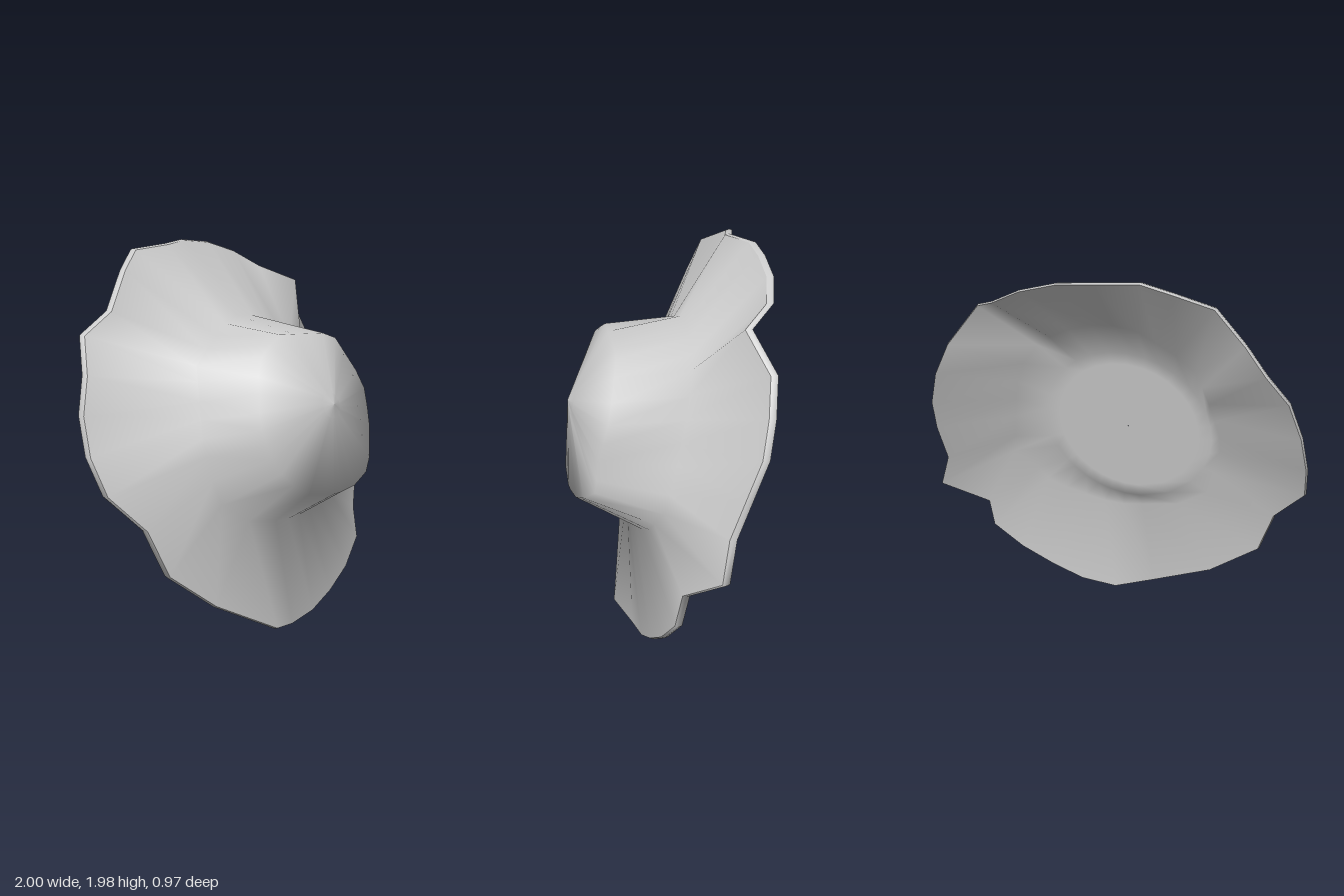
import * as THREE from 'three';

// All outlines are [x, y, z], counter-clockwise seen from the front
// Wavy brim outline
const RIM = [
  [0.95, 1.0, -0.21], [0.93, 1.18, -0.29], [0.88, 1.36, -0.33], [0.79, 1.54, -0.36],
  [0.66, 1.73, -0.27], [0.52, 1.81, -0.41], [0.36, 1.9, -0.455], [0.17, 1.96, -0.465],
  [-0.02, 1.985, -0.47], [-0.22, 1.985, -0.4], [-0.4, 1.97, -0.45], [-0.57, 1.89, -0.36],
  [-0.71, 1.71, -0.32], [-0.83, 1.6, -0.385], [-0.92, 1.43, -0.28], [-0.98, 1.25, -0.25],
  [-1.0, 1.06, -0.19], [-0.98, 0.88, -0.1], [-0.81, 0.69, -0.01], [-0.72, 0.45, 0.05],
  [-0.45, 0.24, 0.11], [-0.1, 0.05, 0.22], [0.1, 0.005, 0.16], [0.29, 0.025, 0.15],
  [0.46, 0.09, 0.14], [0.63, 0.18, 0.12], [0.78, 0.31, 0.085], [0.79, 0.47, 0.05],
  [1.0, 0.61, -0.09], [0.93, 0.8, -0.14],
];
// Where the crown meets the brim, wider at the lower left of the wearer
const BASE = [
  [0.53, 1.08, 0.03], [0.48, 1.32, -0.03], [0.35, 1.5, -0.08], [0.15, 1.61, -0.1],
  [-0.07, 1.63, -0.1], [-0.37, 1.43, -0.06], [-0.45, 1.05, 0.05], [-0.4, 0.76, 0.11],
  [-0.22, 0.63, 0.17], [0.1, 0.59, 0.19], [0.4, 0.65, 0.16], [0.59, 0.82, 0.11],
];
// Shoulder around the front of the crown
const SHOULDER = [
  [0.45, 1.08, 0.4], [0.46, 1.27, 0.35], [0.28, 1.54, 0.28], [-0.13, 1.58, 0.26],
  [-0.32, 1.48, 0.29], [-0.4, 1.2, 0.36], [-0.35, 0.98, 0.42], [-0.2, 0.83, 0.47],
  [0.05, 0.78, 0.49], [0.22, 0.79, 0.48], [0.36, 0.84, 0.46], [0.43, 0.89, 0.42],
];

const TURN = Math.PI * 2;
const CY = 1.1;
const angle = ([x, y]) => (Math.atan2(y - CY, x) + TURN) % TURN;
const mix = (p, q, t) => p.map((v, i) => v + (q[i] - v) * t);
const blend = (a, b, t) => a.map((p, j) => mix(p, b[j], t));
const shift = (points, dz) => points.map(([x, y, z]) => [x, y, z + dz]);

// Sample a coarse outline at the angle of every rim point
function resample(outline) {
  const sorted = [...outline].sort((p, q) => angle(p) - angle(q));
  return RIM.map((r) => {
    const a = angle(r);
    const next = sorted.findIndex((p) => angle(p) > a);
    const q = sorted[next < 0 ? 0 : next];
    const p = sorted[next > 0 ? next - 1 : sorted.length - 1];
    const span = (angle(q) - angle(p) + TURN) % TURN;
    return mix(p, q, ((a - angle(p) + TURN) % TURN) / span);
  });
}

// Tilted elliptical ring for the closed head opening
function opening(scale) {
  return RIM.map((r) => {
    const a = angle(r);
    const dy = 0.42 * scale * Math.sin(a);
    return [-0.03 + 0.44 * scale * Math.cos(a), 1.07 + dy, -0.02 - 0.14 * dy];
  });
}

// Smooth skin through successive rings
function loft(name, rings) {
  const n = RIM.length;
  const index = [];
  for (let i = 0; i < rings.length - 1; i++) {
    for (let j = 0; j < n; j++) {
      const k = (j + 1) % n;
      const a = i * n + j, b = (i + 1) * n + j, c = (i + 1) * n + k, d = i * n + k;
      index.push(a, b, c, a, c, d);
    }
  }
  const geometry = new THREE.BufferGeometry();
  geometry.setAttribute('position', new THREE.Float32BufferAttribute(rings.flat(2), 3));
  geometry.setIndex(index);
  geometry.computeVertexNormals();
  const mesh = new THREE.Mesh(geometry, new THREE.MeshStandardMaterial({ color: 0xcccccc }));
  mesh.name = name;
  return mesh;
}

export function createModel() {
  const hat = new THREE.Group();
  hat.name = 'floppyHat';

  const base = resample(BASE);
  const shoulder = resample(SHOULDER);
  const tip = RIM.map(() => [0.03, 1.24, 0.483]);
  const inner = blend(RIM, RIM.map(() => [0, CY, -0.1]), 0.006);
  const top = shift(inner, 0.018);
  const bottom = shift(inner, -0.018);

  // Crown flowing out into the top of the brim
  hat.add(loft('crownAndBrim', [blend(tip, shoulder, 0.15), shoulder, base, top]));

  // Crown tip, closing the small ring left by the skin
  hat.add(loft('crownTip', [tip, blend(tip, shoulder, 0.15)]));

  // Thin edge around the brim
  hat.add(loft('brimEdge', [top, RIM, bottom]));

  // Underside of the brim, turning in to the closed head opening
  const fold = shift(blend(base, RIM, 0.12), -0.036);
  hat.add(loft('underside', [bottom, fold, opening(1), opening(0.85), opening(0.005)]));

  return hat;
}
